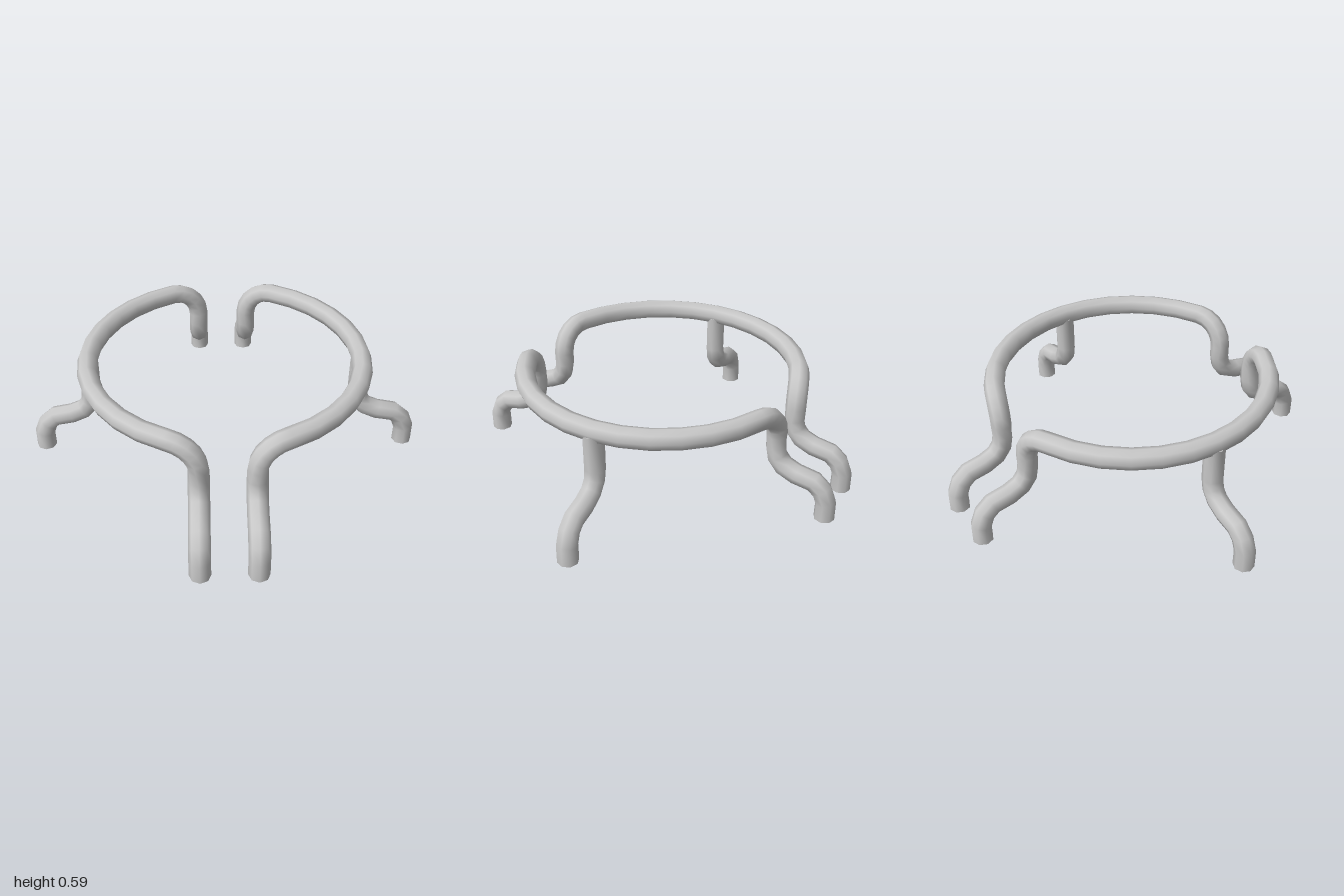
import * as THREE from 'three';

const R = 0.683;      // ring centreline radius
const TOP = 0.539;    // ring centreline height
const TUBE = 0.051;   // rod radius
const SIDES = 8;
const GAP = 0.134;    // x of the paired legs
const BEND = 0.14;    // radius of the bend from leg to ring

// Leg from the floor up: [offset outward from the upright, height]
const LEG = [[0.266, 0], [0.266, 0.09], [0.242, 0.15], [0.198, 0.188], [0.11, 0.205],
  [0.045, 0.235], [0.01, 0.28], [0, 0.335]];

// Sweeps an octagonal rod along points; normalAt gives the section's outward axis
function sweep(points, normalAt) {
  const pos = [], index = [];
  const last = points.length - 1;
  points.forEach((p, i) => {
    const t = points[Math.min(i + 1, last)].clone().sub(p).normalize();
    if (i > 0) {
      const back = p.clone().sub(points[i - 1]).normalize();
      if (i === last) t.copy(back); else t.add(back).normalize();
    }
    const n = normalAt(p, t);
    n.addScaledVector(t, -n.dot(t)).normalize();
    const b = t.clone().cross(n);
    for (let j = 0; j < SIDES; j++) {
      const a = (j / SIDES) * Math.PI * 2;
      const v = p.clone().addScaledVector(n, TUBE * Math.cos(a)).addScaledVector(b, TUBE * Math.sin(a));
      pos.push(v.x, v.y, v.z);
    }
  });
  for (let i = 0; i < last; i++) {
    for (let j = 0; j < SIDES; j++) {
      const k = (j + 1) % SIDES;
      const a = i * SIDES + j, b = i * SIDES + k, c = a + SIDES, d = b + SIDES;
      index.push(a, b, c, b, d, c);
    }
  }
  // End caps on their own corners, so the rims stay sharp
  const s = pos.length / 3, e = s + SIDES;
  pos.push(...pos.slice(0, SIDES * 3), ...pos.slice(-SIDES * 3));
  for (let j = 1; j < SIDES - 1; j++) index.push(s, s + j + 1, s + j, e, e + j, e + j + 1);
  const g = new THREE.BufferGeometry();
  g.setAttribute('position', new THREE.Float32BufferAttribute(pos, 3));
  g.setIndex(index);
  g.computeVertexNormals();
  return g;
}

const legNormal = (p, t) => new THREE.Vector3(1, 0, 0).cross(t);

export function createModel() {
  const model = new THREE.Group();
  model.name = 'ringStand';
  const metal = new THREE.MeshStandardMaterial({ color: 0xc8c8c8 });
  metal.name = 'light grey metal';

  // Half ring: front leg, bend, arc, bend and back leg in one rod
  const onRing = (x, y) => new THREE.Vector3(x, y, Math.sqrt(R * R - x * x));
  const legZ = onRing(GAP, 0).z;
  const front = LEG.map(([o, y]) => new THREE.Vector3(GAP, y, legZ + o));
  for (let i = 0; i <= 5; i++) {
    const a = (i / 5) * Math.PI / 2;
    front.push(onRing(GAP + BEND * (1 - Math.cos(a)), TOP - BEND + BEND * Math.sin(a)));
  }
  const start = Math.asin((GAP + BEND) / R), arcSteps = 12;
  const arc = [];
  for (let i = 1; i < arcSteps; i++) {
    const a = start + (i / arcSteps) * (Math.PI - 2 * start);
    arc.push(new THREE.Vector3(R * Math.sin(a), TOP, R * Math.cos(a)));
  }
  const back = front.map(p => new THREE.Vector3(p.x, p.y, -p.z)).reverse();
  const halfGeometry = sweep([...front, ...arc, ...back], (p, t) =>
    p.y < 0.38 ? legNormal(p, t) : new THREE.Vector3(p.x, 0, p.z));

  // Single side leg, ending inside the ring rod
  const sidePath = LEG.map(([o, y]) => new THREE.Vector3(0, y, R + o));
  sidePath.push(new THREE.Vector3(0, 0.525, R));
  const sideGeometry = sweep(sidePath, legNormal);

  for (const side of ['left', 'right']) {
    const half = new THREE.Mesh(halfGeometry, metal);
    half.name = side + 'HalfRing';
    half.rotation.y = side === 'left' ? 0 : Math.PI;
    const leg = new THREE.Mesh(sideGeometry, metal);
    leg.name = side + 'SideLeg';
    leg.rotation.y = side === 'left' ? Math.PI / 2 : -Math.PI / 2;
    model.add(half, leg);
  }
  return model;
}
